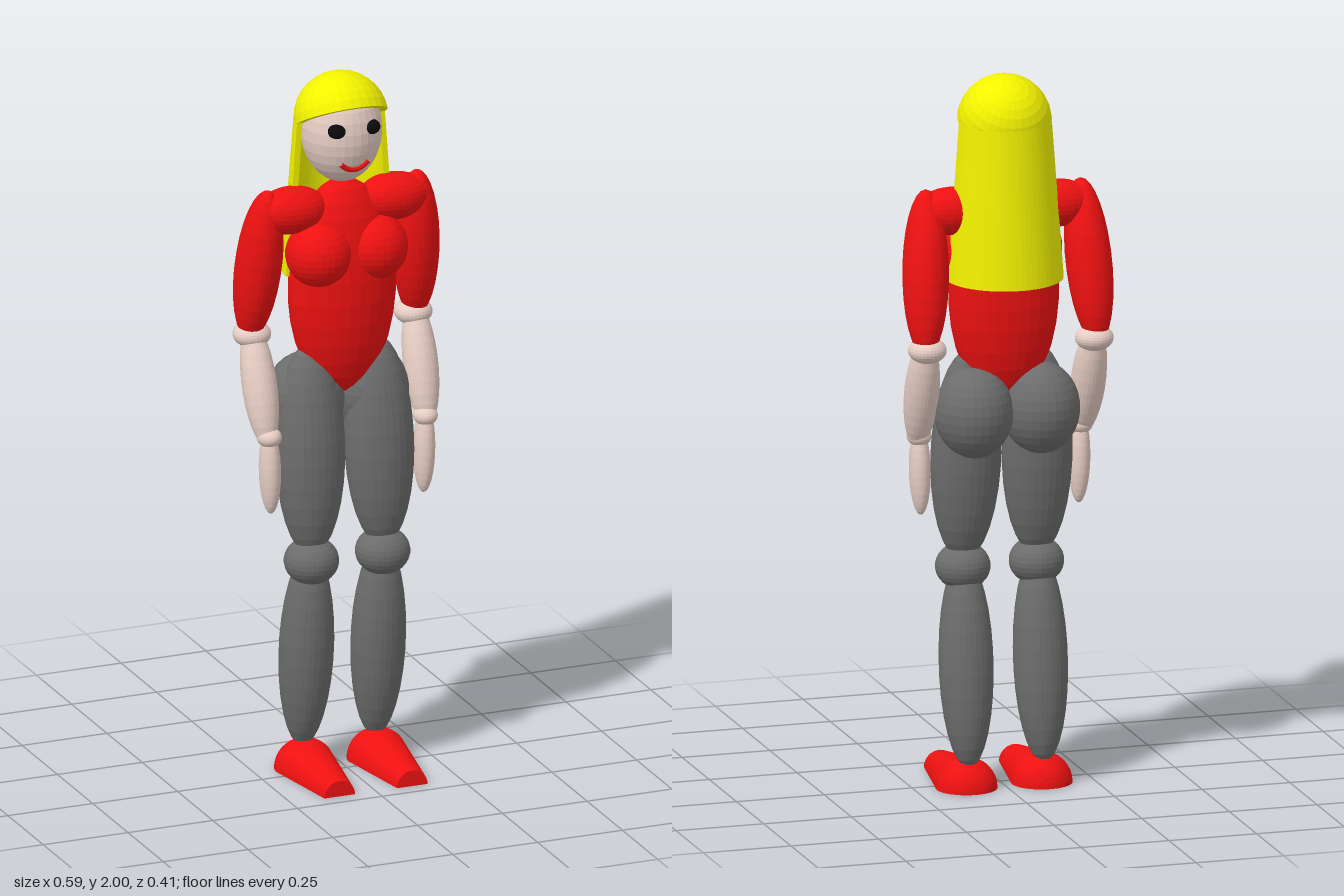
import * as THREE from 'three';

const mat = (color, side = THREE.FrontSide) =>
  new THREE.MeshStandardMaterial({ color, flatShading: true, side });
const RED = mat(0xee1111), GREY = mat(0x6c6c6c), SKIN = mat(0xe6cdc4), BLACK = mat(0x0a0a0a);
const YELLOW = mat(0xf2f200, THREE.DoubleSide), SHOE = mat(0xee1111, THREE.DoubleSide);
const UP = new THREE.Vector3(0, 1, 0);
const HEAD = { c: [0, 1.84, -0.042], r: [0.112, 0.15, 0.115] };

function add(parent, name, geometry, material) {
  const mesh = new THREE.Mesh(geometry, material);
  mesh.name = name;
  parent.add(mesh);
  return mesh;
}

// Ellipsoid from centre and radii
function blob(parent, name, material, c, r) {
  const geo = new THREE.SphereGeometry(1, 30, 15).scale(...r);
  const mesh = add(parent, name, geo, material);
  mesh.position.set(...c);
  return mesh;
}

// Ellipsoid stretched between two points
function limb(parent, name, material, a, b, rx, rz) {
  const p = new THREE.Vector3(...a), q = new THREE.Vector3(...b);
  const axis = p.clone().sub(q);
  const mid = p.clone().add(q).multiplyScalar(0.5);
  const mesh = blob(parent, name, material, mid.toArray(), [rx, axis.length() / 2, rz]);
  mesh.quaternion.setFromUnitVectors(UP, axis.normalize());
  return mesh;
}

// Half-round shoe: quarter-sphere heel and a half cone running to the toe
function shoe(parent, name, x) {
  const profile = [];
  for (let i = 0; i <= 8; i++) {
    const t = (i / 8) * Math.PI / 2;
    profile.push(new THREE.Vector2(0.085 * Math.sin(t), -0.085 * Math.cos(t)));
  }
  profile.push(new THREE.Vector2(0.045, 0.246), new THREE.Vector2(0, 0.246));
  const group = new THREE.Group();
  group.name = name;
  add(group, 'shoeUpper', new THREE.LatheGeometry(profile, 16, Math.PI / 2, Math.PI).rotateX(Math.PI / 2), SHOE);
  const mirrored = profile.slice(1, -1).reverse().map(p => new THREE.Vector2(-p.x, p.y));
  const outline = new THREE.Shape([...profile, ...mirrored]);
  add(group, 'sole', new THREE.ShapeGeometry(outline).rotateX(Math.PI / 2), SHOE);
  group.position.set(x, 0, -0.04);
  parent.add(group);
}

function addHead(parent) {
  blob(parent, 'head', SKIN, HEAD.c, HEAD.r);
  for (const s of [1, -1])
    blob(parent, s > 0 ? 'leftEye' : 'rightEye', BLACK, [s * 0.05, 1.867, 0.05], [0.026, 0.021, 0.023]);

  // Smile follows the surface of the face
  const pts = [];
  for (let i = -4; i <= 4; i++) {
    const x = i * 0.01, y = 1.75 + 0.021 * (i / 4) ** 2;
    const k = 1 - (x / HEAD.r[0]) ** 2 - ((y - HEAD.c[1]) / HEAD.r[1]) ** 2;
    pts.push(new THREE.Vector3(x, y, HEAD.c[2] + HEAD.r[2] * Math.sqrt(k)));
  }
  add(parent, 'mouth', new THREE.TubeGeometry(new THREE.CatmullRomCurve3(pts), 16, 0.008, 8), RED);
}

function addHair(parent) {
  // Tilted half-sphere cap
  const cap = new THREE.Group();
  cap.name = 'hairCap';
  add(cap, 'capDome', new THREE.SphereGeometry(0.13, 30, 8, 0, Math.PI * 2, 0, Math.PI / 2), YELLOW);
  add(cap, 'capRim', new THREE.CircleGeometry(0.13, 30).rotateX(Math.PI / 2), YELLOW);
  cap.position.set(0, 1.87, -0.043);
  cap.rotation.x = -Math.PI / 6;
  parent.add(cap);

  // Long hair: half ring that narrows upward
  const h = 0.44, ring = new THREE.Shape();
  ring.absarc(0, 0, 0.162, 0, Math.PI, false);
  ring.absarc(0, 0, 0.142, Math.PI, 0, true);
  const geo = new THREE.ExtrudeGeometry(ring, { depth: h, bevelEnabled: false, curveSegments: 16 });
  geo.rotateX(-Math.PI / 2);
  const p = geo.attributes.position;
  for (let i = 0; i < p.count; i++) {
    const k = 1 - 0.2 * p.getY(i) / h;
    p.setXYZ(i, p.getX(i) * k, p.getY(i), p.getZ(i) * k);
  }
  geo.computeVertexNormals();
  add(parent, 'longHair', geo, YELLOW).position.set(0, 1.43, -0.043);
}

export function createModel() {
  const model = new THREE.Group();
  model.name = 'figure';
  addHead(model);
  addHair(model);
  blob(model, 'torso', RED, [0, 1.39, -0.037], [0.155, 0.31, 0.1]);

  for (const s of [1, -1]) {
    const side = s > 0 ? 'left' : 'right';
    // Chest and arm
    blob(model, side + 'Breast', RED, [s * 0.082, 1.5, -0.003], [0.092, 0.093, 0.093]);
    blob(model, side + 'Shoulder', RED, [s * 0.15, 1.625, -0.035], [0.105, 0.066, 0.066]);
    limb(model, side + 'UpperArm', RED, [s * 0.22, 1.69, -0.03], [s * 0.245, 1.24, -0.11], 0.063, 0.072);
    blob(model, side + 'Elbow', SKIN, [s * 0.238, 1.256, -0.103], [0.053, 0.036, 0.054]);
    limb(model, side + 'Forearm', SKIN, [s * 0.24, 1.29, -0.105], [s * 0.235, 0.96, 0.005], 0.048, 0.05);
    blob(model, side + 'Wrist', SKIN, [s * 0.23, 0.99, 0], [0.034, 0.028, 0.04]);
    limb(model, side + 'Hand', SKIN, [s * 0.23, 1.02, 0], [s * 0.225, 0.767, 0], 0.029, 0.038);
    // Hip, leg and foot
    blob(model, side + 'Buttock', GREY, [s * 0.095, 1.063, -0.07], [0.108, 0.128, 0.112]);
    limb(model, side + 'Thigh', GREY, [s * 0.098, 1.23, -0.035], [s * 0.105, 0.63, 0], 0.098, 0.085);
    blob(model, side + 'Knee', GREY, [s * 0.105, 0.615, 0], [0.076, 0.066, 0.075]);
    limb(model, side + 'Calf', GREY, [s * 0.105, 0.64, -0.005], [s * 0.107, 0.06, -0.062], 0.075, 0.078);
    shoe(model, side + 'Shoe', s * 0.107);
  }
  return model;
}
